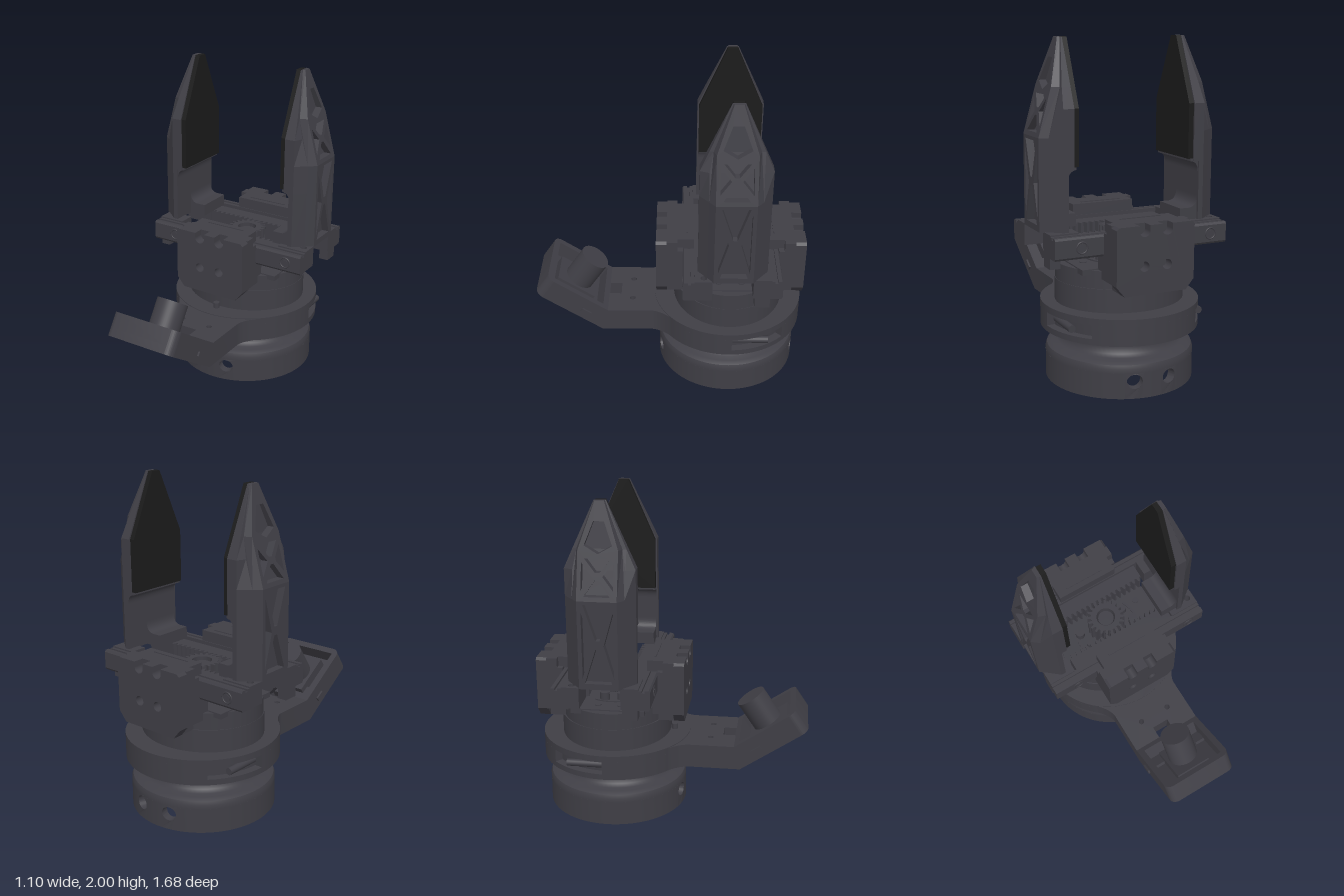
import * as THREE from 'three';
import { toCreasedNormals } from 'three/addons/utils/BufferGeometryUtils.js';

const body = new THREE.MeshStandardMaterial({ color: 0x3f3e45 });
body.name = 'charcoal plastic';
const rubber = new THREE.MeshStandardMaterial({ color: 0x1b1b1b });
rubber.name = 'black rubber';

function add(parent, name, geo, mat = body) {
  const m = new THREE.Mesh(geo, mat);
  m.name = name;
  parent.add(m);
  return m;
}
// box given by its limits
function box(parent, name, x0, x1, y0, y1, z0, z1) {
  const g = new THREE.BoxGeometry(x1 - x0, y1 - y0, z1 - z0);
  return add(parent, name, g.translate((x0 + x1) / 2, (y0 + y1) / 2, (z0 + z1) / 2));
}
function cyl(parent, name, r, y0, y1, x, z, sides = 24) {
  return add(parent, name, new THREE.CylinderGeometry(r, r, y1 - y0, sides).translate(x, (y0 + y1) / 2, z));
}
const poly = pts => new THREE.Shape(pts.map(p => new THREE.Vector2(p[0], p[1])));
const circle = (x, y, r) => new THREE.Path().absarc(x, y, r, 0, Math.PI * 2, true);
const extrude = (shape, depth, curveSegments = 24) =>
  new THREE.ExtrudeGeometry(shape, { depth, bevelEnabled: false, curveSegments });
// plan drawn in (x, z), filling y0..y1
const slab = (shape, y0, y1, seg) =>
  toCreasedNormals(extrude(shape, y1 - y0, seg).rotateX(Math.PI / 2).translate(0, y1, 0), 0.6);
// solid part of a ring; angles run from +z towards +x
function sector(parent, name, ri, ro, y0, y1, p0, p1) {
  const a = Math.PI / 2 - p1, b = Math.PI / 2 - p0;
  const s = new THREE.Shape();
  s.absarc(0, 0, ro, a, b, false);
  s.absarc(0, 0, ri, b, a, true);
  return add(parent, name, slab(s, y0, y1, 64));
}
const lathe = pts => toCreasedNormals(
  new THREE.LatheGeometry(pts.map(p => new THREE.Vector2(p[0], p[1])), 80), 0.6);

// finger outline rules
const outerX = y => 0.55 - Math.max(0, y - 1.46) * 0.278;
const halfW = y => 0.205 - Math.max(0, y - 1.62) * 0.447;
const faceW = y => Math.min(0.115, halfW(y) * 0.75);
const coreX = y => Math.max(outerX(y) - 0.045, 0.385);
const coreW = y => faceW(y) + (halfW(y) - faceW(y)) * 0.4;

// closed solid through six-sided sections at the given heights
function fingerCore(inner, heights) {
  const loops = heights.map(y => {
    const w = halfW(y), c = coreW(y), o = coreX(y), m = Math.min(0.44, o - 0.002);
    return [[inner, w], [m, w], [o, c], [o, -c], [m, -w], [inner, -w]]
      .map(p => new THREE.Vector3(p[0], y, p[1]));
  });
  const v = [];
  for (let k = 0; k + 1 < loops.length; k++) {
    for (let i = 0; i < 6; i++) {
      const j = (i + 1) % 6, a = loops[k], b = loops[k + 1];
      v.push(a[i], a[j], b[j], a[i], b[j], b[i]);
    }
  }
  const lo = loops[0], hi = loops[loops.length - 1];
  for (let i = 1; i < 5; i++) v.push(hi[0], hi[i], hi[i + 1], lo[0], lo[i + 1], lo[i]);
  const g = new THREE.BufferGeometry().setFromPoints(v);
  g.computeVertexNormals();
  return g;
}
// outer truss plate with pockets, drawn in (z, y) and leaned onto the core
function trussPlate(outline, holes) {
  const s = poly(outline);
  holes.forEach(h => s.holes.push(new THREE.Path(h.map(p => new THREE.Vector2(p[0], p[1])))));
  const g = extrude(s, 1), p = g.attributes.position;
  for (let i = 0; i < p.count; i++) {
    const y = p.getY(i), back = p.getZ(i) < 0.5;
    let z = -p.getX(i);
    if (back && Math.abs(z) > faceW(y) - 0.002) z *= coreW(y) / faceW(y);
    p.setXYZ(i, back ? coreX(y) : outerX(y), y, z);
  }
  g.computeVertexNormals();
  return g;
}
const mirrored = pts => pts.map(p => [-p[0], p[1]]).reverse();

function makeJaw() {
  const jaw = new THREE.Group();
  // finger
  add(jaw, 'fingerLower', fingerCore(0.41, [0.935, 1.3]));
  add(jaw, 'fingerUpper', fingerCore(0.375, [1.285, 1.46, 1.62, 1.735, 2.0]));
  const sideLow = [[0.092, 1.4], [0.092, 1.0], [0.035, 1.2]];
  add(jaw, 'fingerTrussLower', trussPlate(
    [[-0.115, 0.935], [0.115, 0.935], [0.115, 1.46], [-0.115, 1.46]],
    [[[-0.08, 1.44], [0.08, 1.44], [0.012, 1.23], [-0.012, 1.23]],
      [[-0.08, 0.97], [-0.012, 1.18], [0.012, 1.18], [0.08, 0.97]],
      sideLow, mirrored(sideLow)]));
  const sideUp = [[0.092, 1.67], [0.092, 1.52], [0.03, 1.595]];
  add(jaw, 'fingerTrussUpper', trussPlate(
    [[-0.115, 1.46], [0.115, 1.46], [0.115, 1.735], [faceW(2), 2], [-faceW(2), 2], [-0.115, 1.735]],
    [[[-0.075, 1.69], [0.075, 1.69], [0.012, 1.615], [-0.012, 1.615]],
      [[-0.075, 1.485], [-0.012, 1.575], [0.012, 1.575], [0.075, 1.485]],
      [[-0.08, 1.76], [-0.03, 1.89], [0.03, 1.89], [0.08, 1.76], [0, 1.715]],
      sideUp, mirrored(sideUp)]));
  // grip pad
  const pad = poly([[-0.195, 1.3], [0.195, 1.3], [0.195, 1.62], [0.03, 2.0], [-0.03, 2.0], [-0.195, 1.62]]);
  add(jaw, 'gripPad', extrude(pad, 0.032).rotateY(Math.PI / 2).translate(0.344, 0, 0), rubber);
  // rounded shoulder under the pad
  const shoulder = new THREE.Shape();
  shoulder.moveTo(0.43, 1.22);
  shoulder.lineTo(0.43, 1.3);
  shoulder.lineTo(0.36, 1.3);
  shoulder.lineTo(0.36, 1.285);
  shoulder.quadraticCurveTo(0.41, 1.28, 0.41, 1.22);
  add(jaw, 'fingerShoulder', extrude(shoulder, 0.39).translate(0, 0, -0.195));
  // foot with a fillet into the finger
  const foot = new THREE.Shape();
  foot.moveTo(0.30, 0.935);
  foot.lineTo(0.43, 0.935);
  foot.lineTo(0.43, 1.08);
  foot.lineTo(0.41, 1.08);
  foot.quadraticCurveTo(0.41, 1.015, 0.36, 1.01);
  foot.lineTo(0.30, 1.01);
  add(jaw, 'fingerFoot', extrude(foot, 0.24).translate(0, 0, -0.05));
  // base blocks either side of the rack opening
  const base = poly([[0.36, 0.12], [0.55, 0.12], [0.55, 0.225], [0.36, 0.225]]);
  base.holes.push(circle(0.508, 0.17, 0.02));
  add(jaw, 'jawBaseDrilled', slab(base, 0.81, 0.94));
  box(jaw, 'jawBase', 0.36, 0.53, 0.81, 0.94, -0.225, -0.12);
  box(jaw, 'jawTab', 0.47, 0.53, 0.745, 0.81, -0.22, -0.13);
  // slide rail with a shallow groove on top
  const rail = poly([[-0.22, 0.808], [-0.22, 0.932], [-0.245, 0.932], [-0.245, 0.918], [-0.262, 0.918],
    [-0.262, 0.932], [-0.285, 0.932], [-0.293, 0.92], [-0.293, 0.82], [-0.285, 0.808]]);
  add(jaw, 'slideRail', extrude(rail, 1.08).rotateY(Math.PI / 2).translate(-0.53, 0, 0));
  for (const x of [-0.37, 0.445]) {
    add(jaw, 'railScrew', new THREE.TorusGeometry(0.032, 0.005, 8, 24).translate(x, 0.87, 0.292));
    add(jaw, 'railScrewHead', new THREE.CylinderGeometry(0.02, 0.02, 0.02, 6).rotateX(Math.PI / 2).translate(x, 0.87, 0.286));
  }
  // toothed rack
  const pts = [[0.36, 0.222], [-0.34, 0.222]];
  for (let i = 0; i < 19; i++) {
    const x = -0.34 + i * 0.0365;
    pts.push([x, 0.13], [x + 0.012, 0.13], [x + 0.018, 0.105], [x + 0.028, 0.105]);
  }
  pts.push([0.36, 0.13]);
  add(jaw, 'rack', slab(poly(pts), 0.81, 0.91));
  return jaw;
}

// end block, guide lip and screw holes facing +z
function makeGuide() {
  const g = new THREE.Group();
  const s = new THREE.Shape();
  s.moveTo(-0.19, 0.61);
  for (const p of [[0.19, 0.61], [0.24, 0.67], [0.24, 0.985], [0.225, 1.0]]) s.lineTo(p[0], p[1]);
  // open screw grooves along the top edge
  for (const x of [0.07, -0.07]) {
    s.lineTo(x + 0.032, 1.0);
    s.lineTo(x + 0.032, 0.968);
    s.absarc(x, 0.968, 0.032, 0, Math.PI, true);
    s.lineTo(x - 0.032, 1.0);
  }
  for (const p of [[-0.225, 1.0], [-0.24, 0.985], [-0.24, 0.67]]) s.lineTo(p[0], p[1]);
  for (const x of [-0.07, 0.07]) s.holes.push(circle(x, 0.77, 0.029));
  add(g, 'guideBlock', extrude(s, 0.066).translate(0, 0, 0.389));
  box(g, 'guideBacking', -0.24, 0.24, 0.67, 1.0, 0.325, 0.39);
  box(g, 'guideWall', -0.24, 0.24, 0.67, 0.94, 0.291, 0.33);
  box(g, 'guideLip', -0.2, 0.2, 0.93, 1.0, 0.225, 0.33);
  box(g, 'guideLipRidge', -0.13, 0.13, 1.0, 1.005, 0.26, 0.27);
  box(g, 'guideShelf', -0.24, 0.24, 0.67, 0.81, 0.22, 0.389);
  box(g, 'guideFoot', -0.19, 0.19, 0.61, 0.68, 0.23, 0.389);
  return g;
}

export function createModel() {
  const model = new THREE.Group();
  const core = new THREE.Group(); // everything round the main axis
  core.name = 'gripperCore';
  core.position.z = -0.37;
  model.add(core);

  // hollow base with four drilled panels
  add(core, 'baseTop', lathe([[0, 0.15], [0.44, 0.15], [0.44, 0.175], [0.432, 0.197], [0.405, 0.212],
    [0.37, 0.216], [0.348, 0.232], [0.336, 0.265], [0.336, 0.33], [0, 0.33]]));
  for (const p of [0, Math.PI]) {
    sector(core, 'baseWall', 0.39, 0.44, 0, 0.151, p + 0.375, p + Math.PI - 0.375);
    sector(core, 'baseWallMiddle', 0.39, 0.44, 0, 0.151, p - 0.125, p + 0.125);
    for (const c of [p - 0.25, p + 0.25]) {
      const s = poly([[-0.125, 0], [-0.06, 0], [0, 0], [0.06, 0], [0.125, 0],
        [0.125, 0.151], [0.06, 0.151], [0, 0.151], [-0.06, 0.151], [-0.125, 0.151]]);
      const hole = new THREE.Path();
      hole.absellipse(0, 0.1, 0.105, 0.042, 0, Math.PI * 2, true, 0);
      s.holes.push(hole);
      const g = extrude(s, 0.05), v = g.attributes.position;
      for (let i = 0; i < v.count; i++) {
        const a = c + v.getX(i), r = 0.39 + v.getZ(i);
        v.setXYZ(i, Math.sin(a) * r, v.getY(i), Math.cos(a) * r);
      }
      add(core, 'baseDrilledPanel', toCreasedNormals(g, 0.6));
    }
  }
  sector(core, 'baseInnerRing', 0.24, 0.3, 0.135, 0.152, 0, Math.PI * 2);
  box(core, 'baseInnerBar', -0.24, 0.24, 0.14, 0.152, -0.05, 0.05);

  // clamp ring with a screw slot on each side
  const T = Math.PI * 2;
  sector(core, 'clampBottom', 0.33, 0.47, 0.32, 0.355, 0, T);
  sector(core, 'clampTop', 0.33, 0.47, 0.435, 0.475, 0, T);
  sector(core, 'clampInner', 0.33, 0.42, 0.35, 0.44, 0, T);
  sector(core, 'clampFront', 0.41, 0.47, 0.354, 0.436, -1.6, 1.6);
  sector(core, 'clampBack', 0.41, 0.47, 0.354, 0.436, 2.36, T - 2.36);
  for (const s of [-1, 1]) {
    add(core, 'clampScrew', new THREE.CylinderGeometry(0.022, 0.022, 0.22, 16)
      .rotateX(Math.PI / 2).translate(s * 0.41, 0.395, -0.13));
  }
  cyl(model, 'clampPin', 0.02, 0.46, 0.51, 0, 0);

  // turret under the slides
  cyl(core, 'turretLower', 1, 0.47, 0.612, 0, 0, 72).scale.set(0.39, 1, 0.345);
  cyl(core, 'turretUpper', 1, 0.612, 0.715, 0, 0, 72).scale.set(0.388, 1, 0.335);
  box(core, 'slideFloor', -0.34, 0.34, 0.69, 0.722, -0.225, 0.225);
  for (const s of [-1, 1]) {
    cyl(core, 'floorScrew', 0.03, 0.72, 0.775, s * 0.175, s * 0.045);
    cyl(core, 'floorScrew', 0.02, 0.72, 0.765, s * 0.155, -s * 0.05);
    cyl(core, 'floorPin', 0.02, 0.72, 0.728, s * 0.265, 0.07);
    cyl(core, 'floorPin', 0.02, 0.72, 0.728, s * 0.265, -0.07);
    sector(core, 'floorArc', 0.2, 0.215, 0.72, 0.73, s * Math.PI / 2 - 0.5, s * Math.PI / 2 + 0.5);
  }

  // pinion
  const gear = [];
  for (let i = 0; i < 20; i++) {
    for (const [d, r] of [[-0.1, 0.096], [-0.05, 0.12], [0.05, 0.12], [0.1, 0.096]]) {
      const a = (i + 0.5) / 20 * T + d;
      gear.push([Math.cos(a) * r, Math.sin(a) * r]);
    }
  }
  const gearShape = poly(gear);
  gearShape.holes.push(circle(0, 0, 0.06));
  add(core, 'pinion', slab(gearShape, 0.75, 0.91));
  cyl(core, 'pinionHub', 0.05, 0.72, 0.89, 0, 0);

  // two jaws and two guides, turned half a revolution
  for (let i = 0; i < 2; i++) {
    const jaw = makeJaw(), guide = makeGuide();
    jaw.name = i ? 'rightJaw' : 'leftJaw';
    guide.name = i ? 'backGuide' : 'frontGuide';
    jaw.rotation.y = guide.rotation.y = i * Math.PI;
    core.add(jaw, guide);
  }

  // camera arm
  const arm = new THREE.Shape();
  arm.moveTo(-0.23, 0.43);
  arm.lineTo(-0.23, 0.12);
  arm.quadraticCurveTo(-0.23, 0.06, -0.32, -0.03);
  arm.lineTo(0.32, -0.03);
  arm.quadraticCurveTo(0.23, 0.06, 0.23, 0.12);
  arm.lineTo(0.23, 0.43);
  arm.holes.push(circle(-0.1, 0.24, 0.018), circle(0.1, 0.24, 0.018),
    poly([[-0.055, 0.315], [-0.055, 0.42], [0.055, 0.42], [0.055, 0.315]]));
  add(model, 'cameraArm', slab(arm, 0.322, 0.471));
  box(model, 'armTab', -0.04, 0.04, 0.24, 0.33, 0.21, 0.285);

  // tilted camera tray
  const tray = new THREE.Group();
  tray.name = 'cameraTray';
  tray.position.set(0, 0.321, 0.43);
  tray.rotation.x = -0.598;
  model.add(tray);
  const plan = () => {
    const s = poly([[-0.23, 0], [-0.055, 0], [-0.055, 0.05], [0.055, 0.05], [0.055, 0], [0.23, 0], [0.23, 0.445]]);
    s.absarc(0.18, 0.445, 0.05, 0, Math.PI / 2, false);
    s.absarc(-0.18, 0.445, 0.05, Math.PI / 2, Math.PI, false);
    return s;
  };
  add(tray, 'trayFloor', slab(plan(), 0, 0.05));
  const rim = plan();
  rim.holes.push(poly([[-0.19, 0.09], [-0.19, 0.455], [0.19, 0.455], [0.19, 0.09]]));
  add(tray, 'trayRim', slab(rim, 0.049, 0.145));
  box(tray, 'cameraBoard', -0.115, 0.115, 0.045, 0.11, 0.14, 0.41);
  cyl(tray, 'cameraLens', 0.095, 0.05, 0.305, 0, 0.265, 48);
  box(tray, 'trayPegs', -0.242, 0.242, 0.045, 0.072, 0.13, 0.195);
  return model;
}
